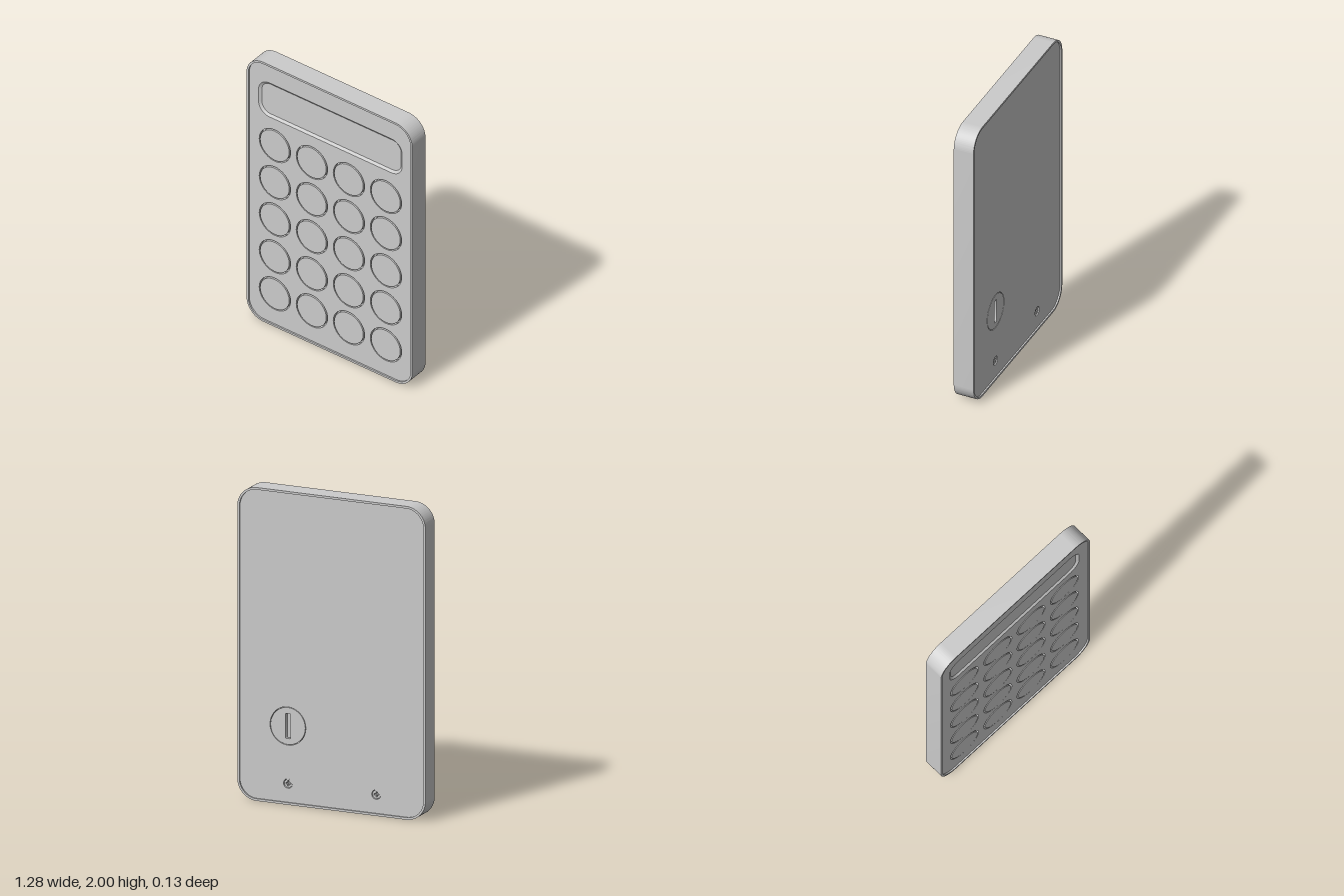
import * as THREE from 'three';
import { toCreasedNormals } from 'three/addons/utils/BufferGeometryUtils.js';

const W = 1.28, H = 2, D = 0.134, RIM = 0.014;
const FRONT = 0.057, CORE = 0.03; // panel face and inner core, as distances from z = 0
const material = new THREE.MeshStandardMaterial({ color: 0xcccccc });

// Rounded rectangle outline, counter-clockwise, centred on (cx, cy)
function roundedRect(cx, cy, w, h, r, Type = THREE.Shape) {
  const s = new Type(), x = w / 2, y = h / 2;
  s.absarc(cx + x - r, cy + y - r, r, 0, Math.PI / 2);
  s.absarc(cx - x + r, cy + y - r, r, Math.PI / 2, Math.PI);
  s.absarc(cx - x + r, cy - y + r, r, Math.PI, Math.PI * 1.5);
  s.absarc(cx + x - r, cy - y + r, r, Math.PI * 1.5, Math.PI * 2);
  s.closePath();
  return s;
}

function circle(cx, cy, r, Type = THREE.Shape) {
  return new Type().absarc(cx, cy, r, 0, Math.PI * 2);
}

// Plus-shaped outline for a screw drive
function cross(cx, cy, a, b) {
  const pts = [[a, b], [b, b], [b, a], [-b, a], [-b, b], [-a, b],
    [-a, -b], [-b, -b], [-b, -a], [b, -a], [b, -b], [a, -b]];
  return new THREE.Path(pts.map(([x, y]) => new THREE.Vector2(cx + x, cy + y)));
}

export function createModel() {
  const model = new THREE.Group();
  model.name = 'calculator';

  function add(name, geometry) {
    const mesh = new THREE.Mesh(geometry, material);
    mesh.name = name;
    model.add(mesh);
  }

  // Extrudes a shape with holes between two depths
  function slab(name, shape, z0, z1, holes = []) {
    shape.holes.push(...holes);
    const geo = new THREE.ExtrudeGeometry(shape, { depth: z1 - z0, bevelEnabled: false, curveSegments: 20 });
    add(name, toCreasedNormals(geo.translate(0, 0, z0), 0.6));
  }

  const inner = (Type) => roundedRect(0, H / 2, W - RIM * 2, H - RIM * 2, 0.13 - RIM, Type);

  // Outer rim and solid core
  slab('rim', roundedRect(0, H / 2, W, H, 0.13), -D / 2, D / 2, [inner(THREE.Path)]);
  slab('core', inner(), -CORE, CORE);

  // Key grid
  const keys = [];
  for (let row = 0; row < 5; row++) {
    for (let col = 0; col < 4; col++) keys.push([(col - 1.5) * 0.286, 0.245 + row * 0.286]);
  }

  // Front panel with openings for the keys and the display
  slab('frontPanel', inner(), CORE, FRONT, [
    ...keys.map(([x, y]) => circle(x, y, 0.121, THREE.Path)),
    roundedRect(0, 1.722, 1.11, 0.262, 0.085, THREE.Path),
  ]);
  for (const [x, y] of keys) slab('key', circle(x, y, 0.112), CORE, FRONT + 0.002);

  // Display: sloped surround running down to a sunken screen
  const outer = roundedRect(0, 1.722, 1.11, 0.262, 0.085).getPoints(16);
  const low = roundedRect(0, 1.722, 1.076, 0.228, 0.068).getPoints(16);
  const position = [], index = [], n = outer.length;
  for (let i = 0; i < n; i++) {
    const j = (i + 1) % n;
    position.push(outer[i].x, outer[i].y, FRONT, low[i].x, low[i].y, 0.045);
    index.push(2 * i, 2 * j, 2 * j + 1, 2 * i, 2 * j + 1, 2 * i + 1);
  }
  const surround = new THREE.BufferGeometry();
  surround.setAttribute('position', new THREE.Float32BufferAttribute(position, 3));
  surround.setIndex(index);
  surround.computeVertexNormals();
  add('displaySurround', surround);
  slab('screen', roundedRect(0, 1.722, 1.076, 0.228, 0.068), CORE, 0.045);

  // Back panel with battery cover and two screws
  const screws = [-0.3, 0.3];
  slab('backPanel', inner(), -FRONT, -CORE, [
    circle(0.3, 0.5, 0.122, THREE.Path),
    ...screws.map((x) => circle(x, 0.133, 0.03, THREE.Path)),
  ]);
  slab('batteryCover', circle(0.3, 0.5, 0.118), -FRONT, -CORE, [
    roundedRect(0.3, 0.5, 0.034, 0.16, 0.004, THREE.Path),
  ]);
  for (const x of screws) {
    slab('screw', circle(x, 0.133, 0.027), -0.051, -CORE, [cross(x, 0.133, 0.017, 0.005)]);
  }
  return model;
}
